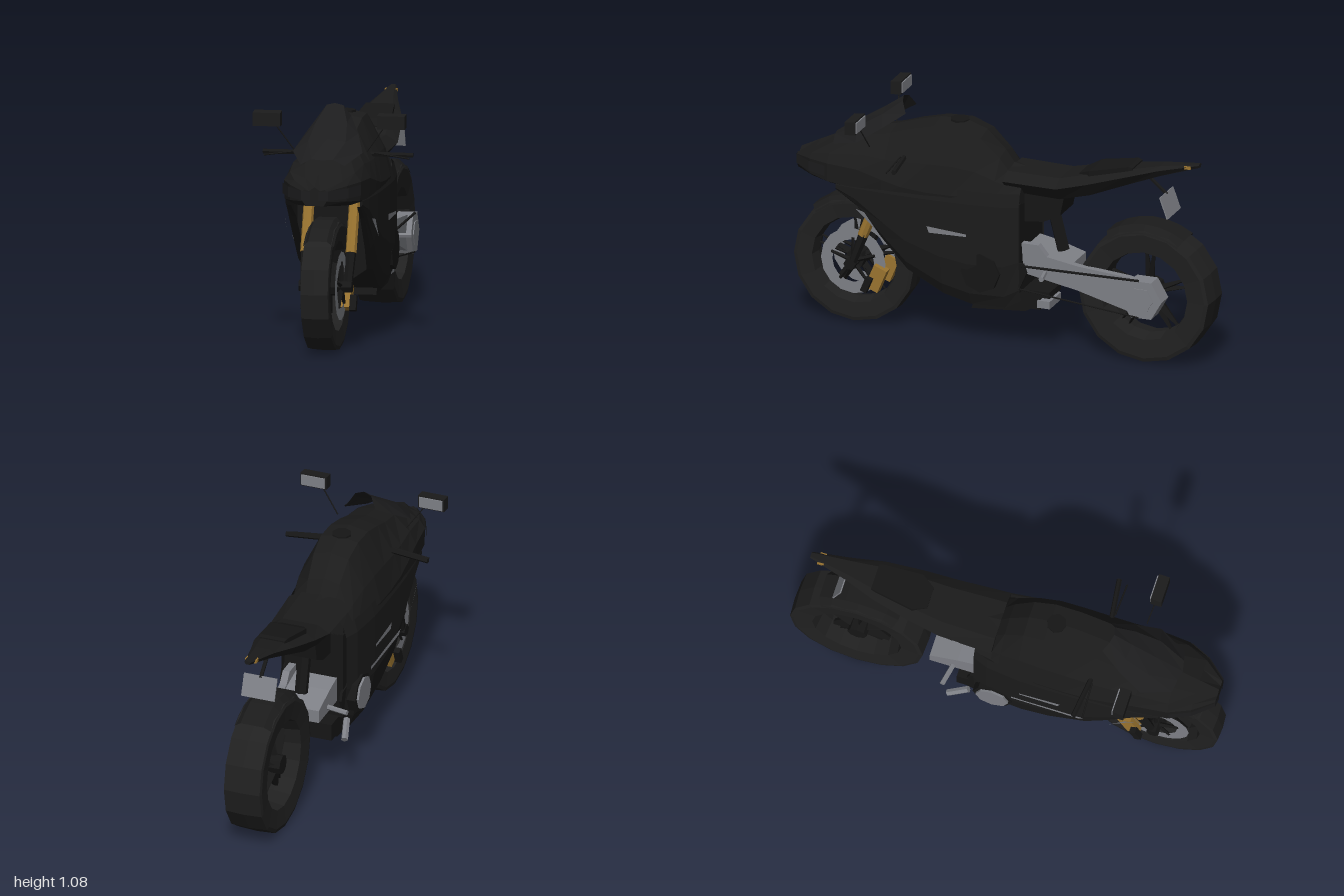
import * as THREE from 'three';

const mat = (name, color) => new THREE.MeshStandardMaterial({ name, color, flatShading: true, side: THREE.DoubleSide });

export function createModel() {
  const root = new THREE.Group();
  root.name = 'motorcycle';
  const black = mat('bodyBlack', 0x1b1b1b);
  const rubber = mat('tyreRubber', 0x202020);
  const glass = mat('smokedGlass', 0x1d1d1e);
  const dark = mat('darkMetal', 0x161616);
  const grey = mat('greyMetal', 0x7e8086);
  const gold = mat('goldMetal', 0x9a7430);

  const add = (name, geo, m, parent = root) => {
    const mesh = new THREE.Mesh(geo, m);
    mesh.name = name;
    parent.add(mesh);
    return mesh;
  };
  const box = (name, m, x, y, z, w, h, d) => {
    const b = add(name, new THREE.BoxGeometry(w, h, d), m);
    b.position.set(x, y, z);
    return b;
  };
  // Rod between two points
  const rod = (name, m, a, b, r0, r1 = r0, sides = 6, parent = root) => {
    const p = new THREE.Vector3(...a), q = new THREE.Vector3(...b), d = q.clone().sub(p);
    const c = add(name, new THREE.CylinderGeometry(r1, r0, d.length(), sides), m, parent);
    c.position.copy(p).add(q).multiplyScalar(0.5);
    c.quaternion.setFromUnitVectors(new THREE.Vector3(0, 1, 0), d.normalize());
    return c;
  };
  // Skin over rows of [x, y, z] points
  const skin = (name, m, rows, closed = false) => {
    const n = rows[0].length, idx = [];
    for (let i = 0; i < rows.length - 1; i++)
      for (let j = 0; j < (closed ? n : n - 1); j++) {
        const a = i * n + j, b = i * n + (j + 1) % n;
        idx.push(a, b, a + n, b, b + n, a + n);
      }
    const g = new THREE.BufferGeometry();
    g.setAttribute('position', new THREE.Float32BufferAttribute(rows.flat(2), 3));
    g.setIndex(idx);
    g.computeVertexNormals();
    return add(name, g, m);
  };
  // Symmetric hull from half sections, closed at both ends
  const hull = (name, m, stations) => {
    const rows = stations.map(([z, half]) => [
      ...half.map(([x, y]) => [x, y, z]),
      ...half.slice(1, -1).reverse().map(([x, y]) => [-x, y, z])]);
    const cap = r => r.map(() => [0, (r[0][1] + r[r.length / 2][1]) / 2, r[0][2]]);
    return skin(name, m, [cap(rows[0]), ...rows, cap(rows[rows.length - 1])], true);
  };
  // Side outline in (z, y), given thickness from x0 to x1
  const plate = (name, m, pts, x0, x1) => {
    const s = new THREE.Shape(pts.map(p => new THREE.Vector2(...p)));
    const g = new THREE.ExtrudeGeometry(s, { depth: x1 - x0, bevelEnabled: false });
    return add(name, g.rotateY(-Math.PI / 2).translate(x1, 0, 0), m);
  };
  const disc = (name, m, x, y, z, r, w, sides, parent) => {
    const d = add(name, new THREE.CylinderGeometry(r, r, w, sides).rotateZ(Math.PI / 2), m, parent);
    d.position.set(x, y, z);
    return d;
  };

  // Wheels
  const wheel = (name, y, z, r, ri, hw, spokeDepth) => {
    const g = new THREE.Group();
    g.name = name;
    g.position.set(0, y, z);
    root.add(g);
    const prof = [[ri, -hw * 0.9], [r * 0.93, -hw], [r * 0.985, -hw * 0.95], [r, 0], [r * 0.985, hw * 0.95],
      [r * 0.93, hw], [ri, hw * 0.9], [ri - 0.012, 0], [ri, -hw * 0.9]].map(p => new THREE.Vector2(...p));
    add('tyre', new THREE.LatheGeometry(prof, 16).rotateZ(Math.PI / 2), rubber, g);
    disc('hub', dark, 0, 0, 0, 0.045, hw * 1.7, 8, g);
    for (let i = 0; i < 5; i++) for (const o of [-0.1, 0.1]) {
      const a = Math.PI / 2 + i * Math.PI * 0.4, q = ri - 0.005;
      rod('spoke', dark, [0, 0.03 * Math.sin(a), 0.03 * Math.cos(a)],
        [0, q * Math.sin(a + o), q * Math.cos(a + o)], 0.018, 0.004, 4, g).scale.x = spokeDepth;
    }
    return g;
  };
  const front = wheel('frontWheel', 0.299, 0.715, 0.292, 0.203, 0.065, 1.5);
  wheel('rearWheel', 0.322, -0.681, 0.315, 0.208, 0.09, 3);

  // Mudguards wrap part of each wheel
  const guard = (name, y, z, r, hw, a0, a1) => {
    const rows = [];
    for (let i = 0; i <= 6; i++) {
      const a = a0 + (a1 - a0) * i / 6;
      rows.push([[-hw, -0.035], [-hw * 0.6, 0], [hw * 0.6, 0], [hw, -0.035]].map(([x, d]) =>
        [x, y + (r + d) * Math.sin(a), z + (r + d) * Math.cos(a)]));
    }
    skin(name, black, rows);
  };
  guard('frontMudguard', 0.297, 0.715, 0.308, 0.07, 0.85, 2.6);
  guard('rearMudguard', 0.32, -0.68, 0.335, 0.092, 0.98, 2.15);

  // Nose, cockpit and tank: z, top, half width, shoulder height, bottom
  hull('upperFairing', black, [
    [0.99, 0.785, 0.055, 0.765, 0.70], [0.9, 0.83, 0.13, 0.78, 0.69], [0.8, 0.878, 0.175, 0.785, 0.68],
    [0.65, 0.93, 0.19, 0.78, 0.67], [0.53, 0.955, 0.197, 0.75, 0.66], [0.44, 0.985, 0.2, 0.73, 0.66],
    [0.32, 1.015, 0.2, 0.72, 0.66], [0.2, 1.02, 0.198, 0.72, 0.66], [0.1, 0.985, 0.185, 0.72, 0.66],
    [0.01, 0.9, 0.168, 0.72, 0.66], [-0.03, 0.845, 0.155, 0.73, 0.68], [-0.11, 0.83, 0.142, 0.74, 0.69],
  ].map(([z, t, w, s, b]) => [z, [[0, t], [w * 0.45, t - 0.018], [w * 0.84, t + (s - t) * 0.58],
    [w, s], [w * 0.98, b + 0.02], [w * 0.75, b], [0, b]]]));
  disc('fuelCap', dark, 0, 1.011, 0.23, 0.045, 0.018, 8).rotation.z = Math.PI / 2;

  // Seat and tail
  hull('tail', black, [
    [-0.03, 0.835, 0.15, 0.74], [-0.28, 0.83, 0.14, 0.73], [-0.42, 0.865, 0.125, 0.765],
    [-0.6, 0.905, 0.095, 0.835], [-0.74, 0.932, 0.055, 0.885], [-0.92, 0.957, 0.015, 0.94],
  ].map(([z, t, w, b]) => [z, [[0, t], [w * 0.6, t], [w, t - (t - b) * 0.35], [w * 0.6, b], [0, b]]]));
  hull('rearSeat', dark, [[-0.36, 0.05, 0.855], [-0.42, 0.085, 0.883], [-0.6, 0.065, 0.92], [-0.62, 0.06, 0.915]]
    .map(([z, w, t]) => [z, [[0, t], [w, t], [w, t - 0.03], [0, t - 0.03]]]));
  box('tailLight', gold, 0, 0.938, -0.868, 0.055, 0.014, 0.03);
  plate('subframe', dark, [[-0.1, 0.75], [-0.3, 0.75], [-0.28, 0.65], [-0.2, 0.61], [-0.1, 0.6]], -0.08, 0.08);
  rod('shock', dark, [0, 0.64, -0.22], [0, 0.46, -0.265], 0.03);
  rod('plateBracket', dark, [0, 0.885, -0.65], [0, 0.79, -0.76], 0.009);
  box('rearPlate', grey, 0, 0.75, -0.775, 0.16, 0.105, 0.006).rotation.x = 0.35;

  // Smoked screen
  skin('windscreen', glass, [
    [[0.1, 0.855, 0.8], [0.05, 0.882, 0.81], [0.88, 0.82]],
    [[0.158, 0.895, 0.67], [0.085, 0.945, 0.69], [0.957, 0.7]],
    [[0.118, 0.965, 0.56], [0.07, 1.015, 0.575], [1.03, 0.585]],
    [[0.068, 1.03, 0.465], [0.038, 1.08, 0.49], [1.09, 0.5]],
  ].map(([e, m, [cy, cz]]) => [e, m, [0, cy, cz], [-m[0], m[1], m[2]], [-e[0], e[1], e[2]]]));

  // Engine mass between the fairing sides
  box('engine', dark, 0, 0.49, 0.09, 0.28, 0.42, 0.4);
  box('radiator', dark, 0, 0.54, 0.39, 0.37, 0.28, 0.04);
  box('exhaustBox', dark, 0, 0.245, -0.13, 0.24, 0.08, 0.14);
  box('exhaustCover', dark, 0.06, 0.282, -0.2, 0.14, 0.03, 0.1);
  box('exhaustTip', grey, 0.06, 0.235, -0.22, 0.14, 0.035, 0.06);
  plate('bellyPan', dark, [[0.13, 0.17], [-0.13, 0.19], [-0.18, 0.22], [0.1, 0.24]], -0.12, 0.12);

  for (const s of [1, -1]) {
    const side = s > 0 ? 'left' : 'right';
    const X = p => [p[0] * s, p[1], p[2]];
    // Lower fairing: z, half width, lower half width, bottom, inner edge
    skin(side + 'LowerFairing', black, [
      [0.76, 0.175, 0.165, 0.665, 0.15], [0.66, 0.187, 0.165, 0.6, 0.145], [0.52, 0.198, 0.165, 0.44, 0.14],
      [0.42, 0.202, 0.16, 0.33, 0.13], [0.25, 0.203, 0.15, 0.235, 0], [0.12, 0.2, 0.145, 0.2, 0],
      [-0.04, 0.182, 0.14, 0.2, 0], [-0.11, 0.155, 0.13, 0.24, 0],
    ].map(([z, w, lw, b, e]) => [[w - 0.015, 0.75, z], [w, 0.69, z], [w, b + (0.69 - b) * 0.42, z],
      [(w + lw) / 2, b + (0.69 - b) * 0.12, z], [lw, b, z], [e, b, z]].map(X)));
    // Light accents on the fairing
    skin(side + 'SideVent', grey, [[[0.208, 0.565, 0.31], [0.207, 0.535, 0.3]],
      [[0.207, 0.55, 0.12], [0.207, 0.538, 0.12]]].map(r => r.map(X)));
    skin(side + 'FrontVent', grey, [[[0.198, 0.598, 0.655], [0.2, 0.575, 0.625]],
      [[0.206, 0.59, 0.61], [0.208, 0.5, 0.54]]].map(r => r.map(X)));
    // Headlamp follows the nose
    skin(side + 'Headlamp', glass, [[0.02, 0.997], [0.062, 0.991], [0.137, 0.902], [0.178, 0.81]]
      .map(([x, z], i) => [[x, 0.765 + i * 0.003, z], [x, 0.725, z]].map(X)));
    // Mirrors and grips
    rod(side + 'MirrorStalk', dark, X([0.165, 0.89, 0.6]), X([0.25, 1.01, 0.62]), 0.003);
    plate(side + 'Mirror', black, [[0.65, 1.0], [0.65, 1.06], [0.6, 1.066], [0.6, 1.003]], s * 0.282 - 0.0625, s * 0.282 + 0.0625);
    box(side + 'MirrorGlass', grey, s * 0.282, 1.034, 0.597, 0.112, 0.05, 0.006);
    rod(side + 'Grip', dark, X([0.14, 0.855, 0.44]), X([0.34, 0.85, 0.415]), 0.012);
    rod(side + 'Lever', dark, X([0.17, 0.862, 0.45]), X([0.33, 0.84, 0.455]), 0.004);
    // Fork legs, brake discs and calipers
    rod(side + 'ForkTube', gold, X([0.103, 0.68, 0.56]), X([0.103, 0.44, 0.655]), 0.025, 0.025, 8);
    rod(side + 'ForkFoot', dark, X([0.103, 0.45, 0.65]), X([0.1, 0.28, 0.715]), 0.024, 0.018, 6);
    add(side + 'BrakeDisc', new THREE.RingGeometry(0.1, 0.155, 16).rotateY(Math.PI / 2), grey, front).position.x = s * 0.07;
    for (let i = 0; i < 5; i++) {
      const a = 0.3 + i * Math.PI * 0.4;
      rod(side + 'DiscArm', dark, [s * 0.07, 0, 0], [s * 0.07, 0.11 * Math.sin(a), 0.11 * Math.cos(a)], 0.012, 0.007, 4, front);
    }
    box(side + 'Caliper', gold, s * 0.076, 0.235, 0.598, 0.042, 0.115, 0.065).rotation.x = -0.4;
    box(side + 'CaliperMount', dark, s * 0.11, 0.21, 0.635, 0.03, 0.07, 0.03).rotation.x = -0.4;
    rod(side + 'Axle', dark, [0, 0.297, 0.715], X([0.12, 0.297, 0.715]), 0.028);
    // Engine covers and foot rests
    disc(side + 'EngineCover', dark, s * 0.165, 0.37, s > 0 ? 0.06 : -0.01, 0.092, 0.06, 8);
    rod(side + 'FootRest', grey, X([0.11, 0.385, -0.22]), X([0.21, 0.385, -0.24]), 0.012);
    plate(side + 'HeelGuard', dark, [[-0.06, 0.43], [-0.13, 0.42], [-0.145, 0.38], [-0.11, 0.3]], s * 0.14 - 0.006, s * 0.14 + 0.006);
  }
  // Clutch side details
  disc('clutchCover', grey, -0.19, 0.37, -0.01, 0.076, 0.03, 8);
  rod('brakePedal', grey, [-0.165, 0.29, -0.13], [-0.19, 0.235, -0.22], 0.016);
  skin('rightLowerVent', grey, [[[-0.207, 0.475, 0.42], [-0.207, 0.455, 0.4]], [[-0.199, 0.455, 0.08], [-0.199, 0.44, 0.08]]]);

  // Single-sided swingarm on the left
  plate('swingarm', grey, [[-0.11, 0.51], [-0.19, 0.51], [-0.23, 0.46], [-0.38, 0.435], [-0.62, 0.415], [-0.75, 0.39],
    [-0.76, 0.29], [-0.72, 0.24], [-0.62, 0.255], [-0.38, 0.32], [-0.12, 0.37]], 0.085, 0.118);
  plate('swingarmPivot', grey, [[-0.1, 0.48], [-0.2, 0.46], [-0.33, 0.42], [-0.33, 0.36], [-0.1, 0.36]], -0.11, 0.09);
  disc('rearHub', grey, 0.1, 0.325, -0.69, 0.1, 0.085, 6);
  disc('rearHubNut', grey, 0.14, 0.325, -0.69, 0.06, 0.014, 6);
  rod('chainTop', dark, [0.142, 0.41, -0.12], [0.142, 0.415, -0.68], 0.006);
  rod('chainBottom', dark, [0.142, 0.3, -0.1], [0.142, 0.24, -0.68], 0.004);
  return root;
}
